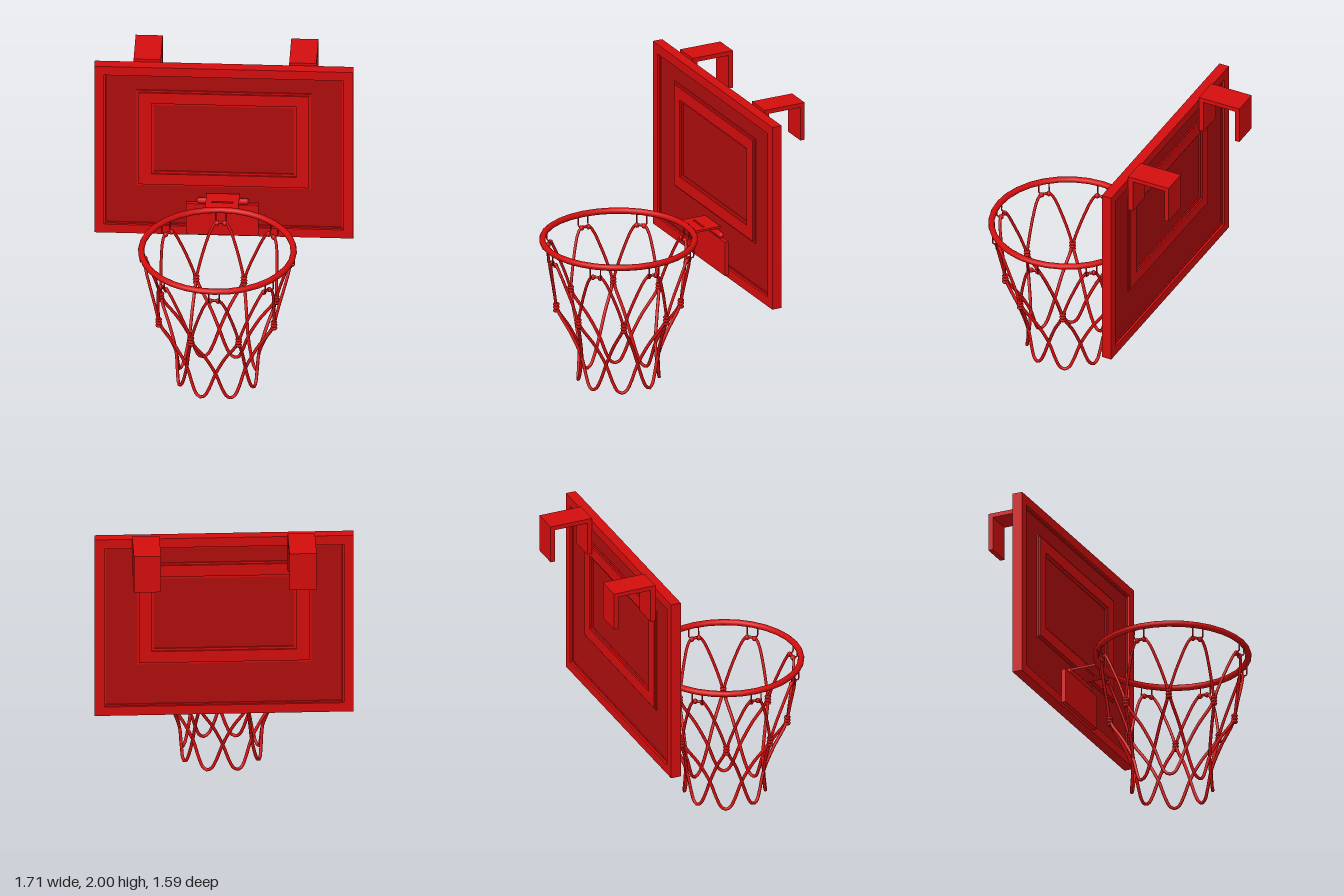
import * as THREE from 'three';

const red = new THREE.MeshStandardMaterial({ color: 0xd40d0d });
red.name = 'red';
const darkRed = new THREE.MeshStandardMaterial({ color: 0xae0d0d });
darkRed.name = 'dark red';

const CX = -0.01, CZ = 0.265, BOARD_Z = -0.465;
const RAD = Math.PI / 180;

function add(parent, name, geometry, material, x = 0, y = 0, z = 0) {
  const mesh = new THREE.Mesh(geometry, material);
  mesh.name = name;
  mesh.position.set(x, y, z);
  parent.add(mesh);
  return mesh;
}

// Box given by its limits on each axis
function block(parent, name, [x0, x1], [y0, y1], [z0, z1], material = red) {
  return add(parent, name, new THREE.BoxGeometry(x1 - x0, y1 - y0, z1 - z0), material,
    (x0 + x1) / 2, (y0 + y1) / 2, (z0 + z1) / 2);
}

function rect(Type, hx, y0, y1) {
  const s = new Type();
  s.moveTo(-hx, y0);
  s.lineTo(hx, y0);
  s.lineTo(hx, y1);
  s.lineTo(-hx, y1);
  s.closePath();
  return s;
}

// Rectangular frame centred on the board's thickness
function frame(parent, name, outer, inner, depth) {
  const shape = rect(THREE.Shape, ...outer);
  shape.holes.push(rect(THREE.Path, ...inner));
  add(parent, name, new THREE.ExtrudeGeometry(shape, { depth, bevelEnabled: false }), red, 0, 0, BOARD_Z - depth / 2);
}

// Point on the net: angle in degrees about the rim, radius and height
function netPoint(deg, r, y) {
  return new THREE.Vector3(CX + r * Math.sin(deg * RAD), y, CZ + r * Math.cos(deg * RAD));
}

function cord(parent, name, points, radius, segments) {
  const curve = new THREE.CatmullRomCurve3(points.map(p => netPoint(...p)));
  add(parent, name, new THREE.TubeGeometry(curve, segments, radius, 7), red);
}

function buildBoard() {
  const g = new THREE.Group();
  g.name = 'backboard';
  block(g, 'panel', [-0.8, 0.8], [0.74, 1.92], [BOARD_Z - 0.012, BOARD_Z + 0.012], darkRed);
  frame(g, 'outerFrame', [0.857, 0.68, 1.98], [0.792, 0.745, 1.913], 0.07);
  frame(g, 'outerFrameStep', [0.8, 0.74, 1.92], [0.782, 0.755, 1.903], 0.04);
  frame(g, 'targetFrame', [0.563, 1.062, 1.778], [0.48, 1.145, 1.695], 0.06);
  frame(g, 'targetOuterStep', [0.577, 1.048, 1.792], [0.56, 1.065, 1.775], 0.04);
  frame(g, 'targetInnerStep', [0.485, 1.14, 1.7], [0.463, 1.162, 1.678], 0.04);
  return g;
}

// Door hooks: upside-down U channels behind the board
function buildHook(x) {
  const g = new THREE.Group();
  g.name = 'doorHook';
  const span = [x - 0.09, x + 0.09];
  block(g, 'hookTop', span, [1.97, 2], [-0.8, -0.5]);
  block(g, 'hookFrontLeg', span, [1.735, 1.97], [-0.535, -0.5]);
  block(g, 'hookBackLeg', span, [1.735, 1.97], [-0.8, -0.768]);
  return g;
}

function buildMount() {
  const g = new THREE.Group();
  g.name = 'mount';
  block(g, 'mountPlate', [-0.25, 0.23], [0.7, 0.94], [-0.43, -0.402]);
  const rod = add(g, 'hingeRod', new THREE.CapsuleGeometry(0.02, 0.31, 4, 10), red, -0.005, 0.96, -0.416);
  rod.rotation.z = Math.PI / 2;
  // Flat arm with a narrow slot; shape y becomes -z
  const arm = rect(THREE.Shape, 0.11, 0.235, 0.435);
  arm.holes.push(rect(THREE.Path, 0.072, 0.322, 0.336));
  const geometry = new THREE.ExtrudeGeometry(arm, { depth: 0.014, bevelEnabled: false });
  geometry.rotateX(-Math.PI / 2);
  add(g, 'rimArm', geometry, red, -0.005, 0.99, 0);
  return g;
}

function buildNet() {
  const g = new THREE.Group();
  g.name = 'net';
  const knot = new THREE.TorusGeometry(0.013, 0.01, 6, 10).rotateX(Math.PI / 2);
  const bead = new THREE.SphereGeometry(0.018, 8, 6);
  for (let k = 0; k < 8; k++) {
    const a = k * 45, m = a + 22.5;
    for (const s of [-1, 1]) {
      // Thin wire hanging from the rim
      cord(g, 'rimWire', [[a + s * 4, 0.51, 0.99], [a + s * 4, 0.51, 0.95], [a + s * 4, 0.508, 0.922], [a + s * 3, 0.48, 0.915]], 0.005, 10);
      const p = netPoint(a + s * 3, 0.482, 0.912);
      add(g, 'topKnot', bead, red, p.x, p.y, p.z);
      // Upper strand down to the neighbouring knot
      cord(g, 'upperStrand', [[a, 0.482, 0.917], [a + s * 4, 0.482, 0.912], [a + s * 7.5, 0.475, 0.87], [a + s * 12, 0.456, 0.78],
        [a + s * 17.5, 0.432, 0.66], [a + s * 21.5, 0.417, 0.56], [a + s * 22.5, 0.412, 0.51]], 0.01, 24);
    }
    // Stacked knots where strands meet
    for (const y of [0.552, 0.53, 0.507]) {
      const p = netPoint(m, 0.413, y);
      add(g, 'middleKnot', knot, red, p.x, p.y, p.z);
    }
    // Lower loop spanning two knots
    const half = [[45, 0.413, 0.54], [43, 0.395, 0.49], [34, 0.325, 0.36], [22.5, 0.275, 0.21], [13, 0.267, 0.085], [6.5, 0.268, 0.027]];
    const loop = [
      ...half.map(([d, r, y]) => [m - d, r, y]),
      [m, 0.27, 0.011],
      ...half.slice().reverse().map(([d, r, y]) => [m + d, r, y]),
    ];
    cord(g, 'lowerLoop', loop, 0.011, 56);
  }
  return g;
}

export function createModel() {
  const model = new THREE.Group();
  model.name = 'basketballHoop';
  model.add(buildBoard(), buildHook(-0.51), buildHook(0.52), buildMount(), buildNet());
  const rim = add(model, 'rim', new THREE.TorusGeometry(0.505, 0.021, 10, 32), red, CX, 1, CZ);
  rim.rotation.x = Math.PI / 2;
  return model;
}
